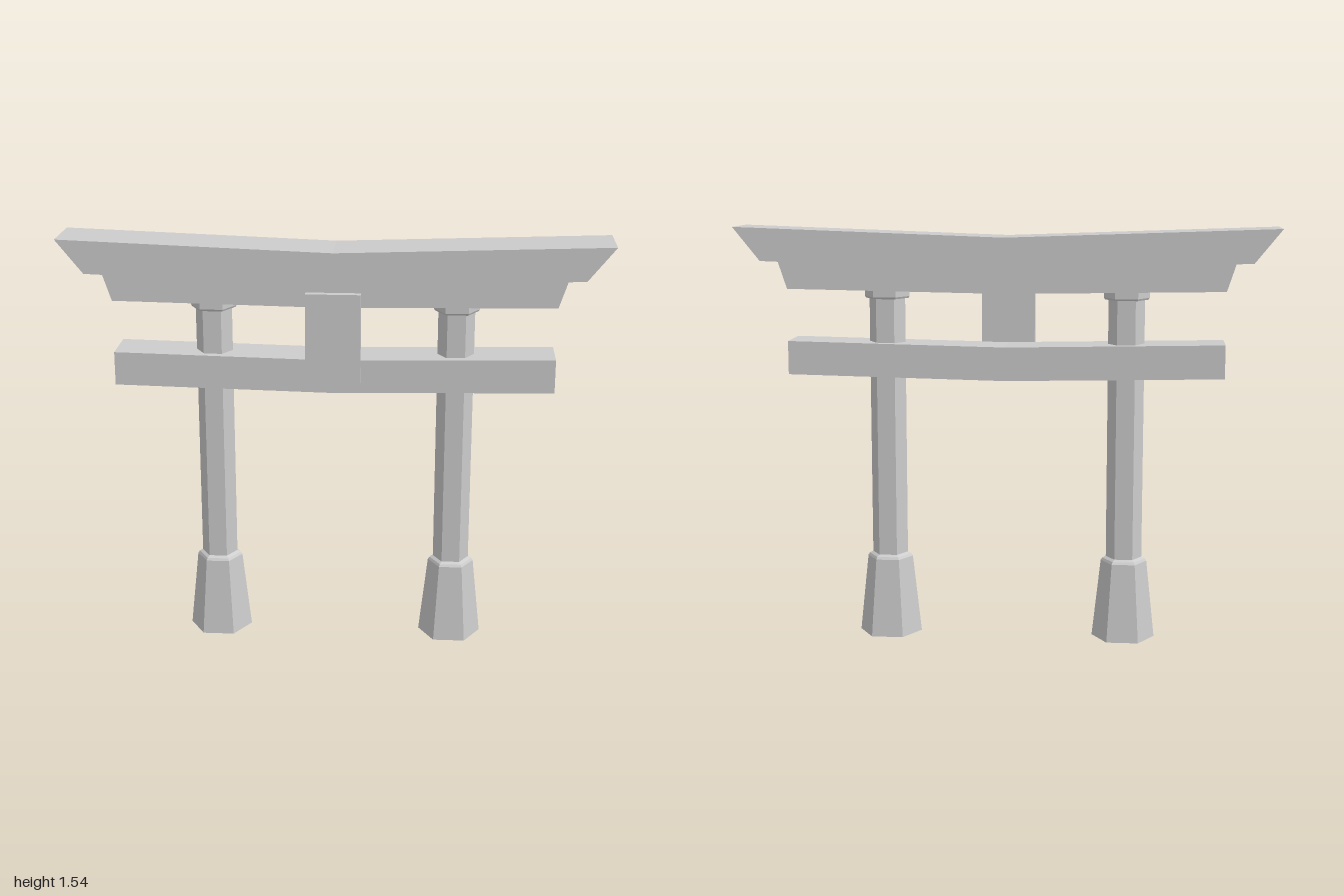
import * as THREE from 'three';

const material = new THREE.MeshStandardMaterial({ color: 0xcccccc, flatShading: true });
const Z = -0.004; // centre plane of the frame

function add(parent, name, geometry, x = 0, y = 0, z = 0) {
  const mesh = new THREE.Mesh(geometry, material);
  mesh.name = name;
  mesh.position.set(x, y, z);
  parent.add(mesh);
  return mesh;
}

// Beam bent at the middle: half-lengths and end/centre heights of its top and bottom edges
function beam({ topX, topEnd, topMid, botX, botEnd, botMid, depth }) {
  const shape = new THREE.Shape([
    [-botX, botEnd], [0, botMid], [botX, botEnd],
    [topX, topEnd], [0, topMid], [-topX, topEnd],
  ].map(([x, y]) => new THREE.Vector2(x, y)));
  return new THREE.ExtrudeGeometry(shape, { depth, bevelEnabled: false })
    .translate(0, 0, -depth / 2);
}

// Six-sided turned solid with corners pointing along x
function hexSolid(profile) {
  const points = profile.map(([r, y]) => new THREE.Vector2(r, y));
  return new THREE.LatheGeometry(points, 6).rotateY(Math.PI / 6);
}

export function createModel() {
  const gate = new THREE.Group();
  gate.name = 'gate';

  // Pillars: flared footing, shaft and cap
  for (const side of [1, -1]) {
    const pillar = new THREE.Group();
    pillar.name = side > 0 ? 'leftPillar' : 'rightPillar';
    pillar.position.set(side * 0.445, 0, Z);
    add(pillar, 'footing', hexSolid([[0, 0], [0.118, 0], [0.086, 0.294], [0.08, 0.303], [0.067, 0.31]]));
    add(pillar, 'shaft', hexSolid([[0.067, 0.3], [0.067, 1.29]]));
    add(pillar, 'cap', hexSolid([[0.067, 1.281], [0.08, 1.281], [0.084, 1.288], [0.084, 1.315], [0, 1.315]]));
    gate.add(pillar);
  }

  // Crossbeams
  add(gate, 'tieBeam', beam({
    topX: 0.805, topEnd: 1.125, topMid: 1.109, botX: 0.805, botEnd: 1.001, botMid: 0.985, depth: 0.176,
  }), 0, 0, Z);
  add(gate, 'underLintel', beam({
    topX: 0.838, topEnd: 1.419, topMid: 1.392, botX: 0.805, botEnd: 1.318, botMid: 1.305, depth: 0.168,
  }), 0, 0, Z);
  add(gate, 'topLintel', beam({
    topX: 1, topEnd: 1.545, topMid: 1.51, botX: 0.9, botEnd: 1.421, botMid: 1.388, depth: 0.208,
  }), 0, 0, Z);

  // Blank plaque between the beams
  add(gate, 'plaque', new THREE.BoxGeometry(0.2, 0.33, 0.029), 0, 1.196, 0.0935);

  return gate;
}
